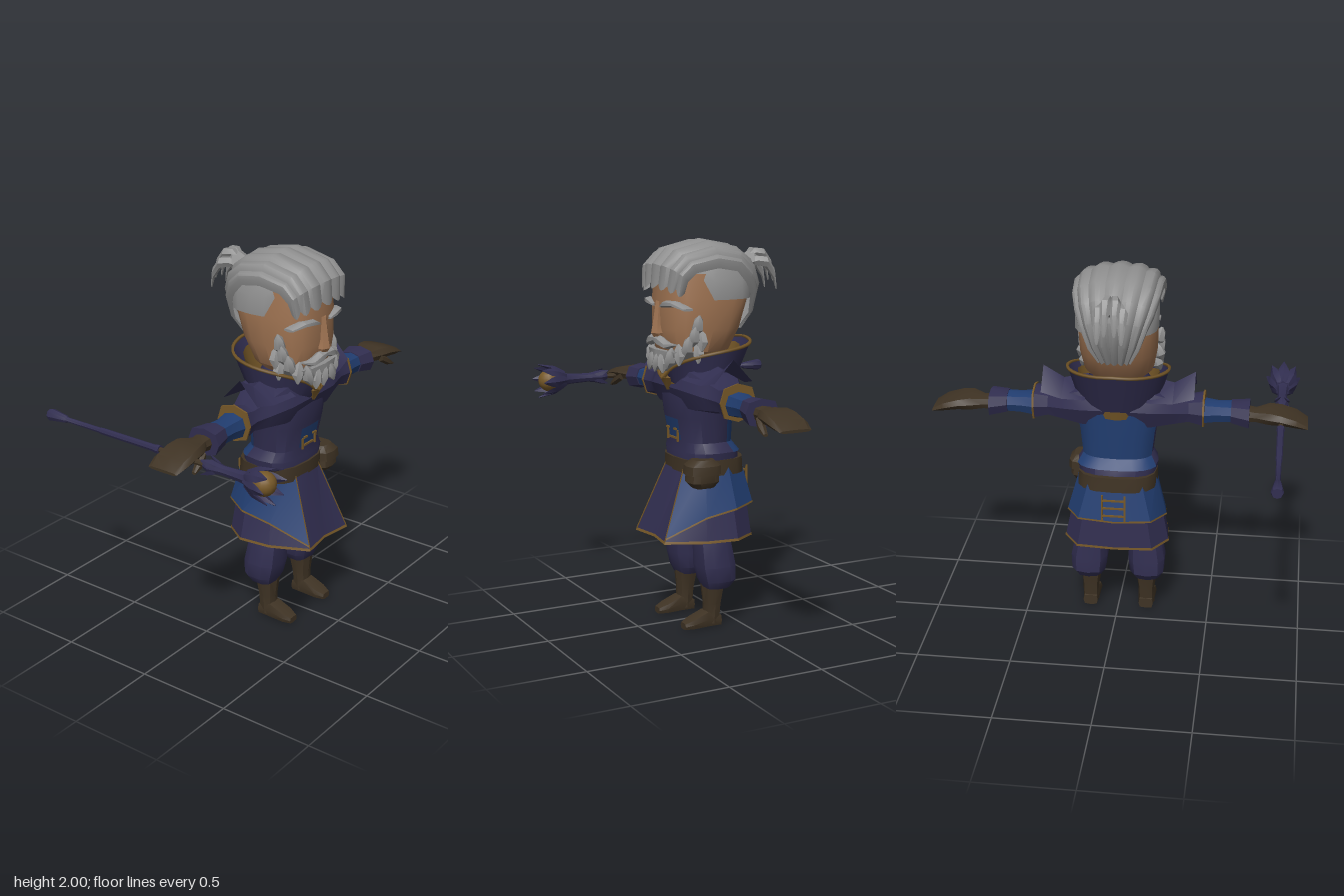
import * as THREE from 'three';
import { toCreasedNormals } from 'three/addons/utils/BufferGeometryUtils.js';

const paint = (name, color) => {
  const m = new THREE.MeshStandardMaterial({ color, side: THREE.DoubleSide });
  m.name = name;
  return m;
};

// Surface through a list of rings; points run counter-clockwise around the direction of travel
function loft(rings, closed = true, caps = true) {
  const n = rings[0].length, pos = rings.flat(2), idx = [];
  const cols = closed ? n : n - 1;
  for (let i = 0; i < rings.length - 1; i++)
    for (let j = 0; j < cols; j++) {
      const a = i * n + j, b = i * n + (j + 1) % n;
      idx.push(a, b, b + n, a, b + n, a + n);
    }
  if (closed && caps) {
    const top = (rings.length - 1) * n;
    for (let j = 1; j < n - 1; j++) idx.push(0, j + 1, j, top, top + j, top + j + 1);
  }
  const g = new THREE.BufferGeometry();
  g.setAttribute('position', new THREE.Float32BufferAttribute(pos, 3));
  g.setIndex(idx);
  return toCreasedNormals(g, 0.6);
}

// Loft of rounded sections [t, aMin, aMax, bMin, bMax]; axis y: a=z b=x, axis x: a=y b=z, axis z: a=x b=y
function body(axis, sections, n = 8, power = 2, from = 0, to = Math.PI * 2, caps = true) {
  const closed = to - from > 6.28;
  const bend = (v) => Math.sign(v) * Math.abs(v) ** (2 / power);
  const rings = sections.map(([t, a0, a1, b0, b1]) => {
    const ring = [];
    for (let j = 0; j < (closed ? n : n + 1); j++) {
      const q = from + (to - from) * j / n;
      const a = (a0 + a1) / 2 + (a1 - a0) / 2 * bend(Math.cos(q));
      const b = (b0 + b1) / 2 + (b1 - b0) / 2 * bend(Math.sin(q));
      ring.push(axis === 'y' ? [b, t, a] : axis === 'x' ? [t, a, b] : [a, b, t]);
    }
    return ring;
  });
  return loft(rings, closed, caps);
}

function mirror(geo) {
  const p = (geo.index ? geo.toNonIndexed() : geo).attributes.position.array, out = [];
  for (let i = 0; i < p.length; i += 9)
    for (const k of [0, 6, 3]) out.push(-p[i + k], p[i + k + 1], p[i + k + 2]);
  const g = new THREE.BufferGeometry();
  g.setAttribute('position', new THREE.Float32BufferAttribute(out, 3));
  return toCreasedNormals(g, 0.6);
}

export function createModel() {
  const root = new THREE.Group();
  root.name = 'oldMage';
  const hair = paint('grey hair', 0x8f8f8f), skin = paint('skin', 0x9c7150);
  const navy = paint('navy cloth', 0x312e50), blue = paint('blue cloth', 0x213d70);
  const leather = paint('brown leather', 0x3f3324), gold = paint('gold trim', 0x765828);
  const add = (name, geo, mat, parent = root) => {
    const m = new THREE.Mesh(geo, mat);
    m.name = name;
    parent.add(m);
    return m;
  };
  const pair = (name, geo, mat) => {
    add(name + 'Left', geo, mat);
    add(name + 'Right', mirror(geo), mat);
  };
  const bar = (name, x, y, z, w, h, d = 0.008) =>
    add(name, new THREE.BoxGeometry(w, h, d).translate(x, y, z), gold);

  // Legs and boots
  pair('trouser', body('y', [[0.21, 0.06, 0.2, 0.09, 0.23], [0.25, 0.03, 0.22, 0.065, 0.255], [0.33, 0.03, 0.24, 0.055, 0.26],
    [0.46, 0.05, 0.24, 0.06, 0.235], [0.6, 0.05, 0.24, 0.03, 0.2]], 10, 2.6), navy);
  pair('bootShaft', body('y', [[0.02, 0.115, 0.2, 0.11, 0.2], [0.12, 0.105, 0.195, 0.11, 0.2], [0.25, 0.08, 0.21, 0.09, 0.215]], 8, 2.6), leather);
  pair('bootFoot', body('z', [[0.11, 0.115, 0.195, 0, 0.06], [0.19, 0.108, 0.202, 0, 0.09], [0.27, 0.108, 0.202, 0, 0.055],
    [0.315, 0.125, 0.185, 0, 0.035]], 8, 4), leather);

  // Skirt: angular waist and hem outlines, x and z, from the front middle to the back middle
  const waist = [[0, 0.285], [0.1, 0.275], [0.19, 0.2], [0.205, 0.08], [0.14, -0.03], [0, -0.05]];
  const hem = [[0, 0.4], [0.17, 0.425], [0.26, 0.23], [0.28, 0.06], [0.2, -0.06], [0, -0.075]];
  const around = (fn, first) => {
    const half = hem.map((_, i) => fn(i)).slice(first);
    const other = half.slice(first ? 0 : 1, -1).reverse().map(([x, y, z]) => [-x, y, z]);
    return [...half, ...other];
  };
  const skirtAt = (f, grow = 1) => (i) => [
    THREE.MathUtils.lerp(waist[i][0], hem[i][0], f) * grow, 0.85 - 0.38 * f,
    0.15 + (THREE.MathUtils.lerp(waist[i][1], hem[i][1], f) - 0.15) * grow];
  add('skirt', loft([around(skirtAt(1), 0), around(skirtAt(0), 0)], true, false), navy);
  add('skirtHem', loft([around(skirtAt(1, 1.012), 0), around(skirtAt(0.965, 1.012), 0)], true, false), gold);
  const drop = [1, 0.94, 0.66, 0.57, 0.54, 0.54];
  const flare = [1, 1.012, 1.05, 1.08, 1.12, 1.16];
  const over = (extra, grow) => around((i) => skirtAt(drop[i] + extra, flare[i] + grow)(i), 1);
  add('overskirt', loft([over(0, 0), around(skirtAt(0, 1.01), 1)], false), blue);
  add('overskirtTrim', loft([over(0.01, 0.004), over(-0.015, 0.004)], false), gold);
  for (const s of [-1, 1]) {
    const line = new THREE.LineCurve3(new THREE.Vector3(s * 0.1, 0.85, 0.277), new THREE.Vector3(s * 0.168, 0.48, 0.424));
    add('frontSeam', new THREE.TubeGeometry(line, 1, 0.004, 4), gold);
    bar('backLacePost', s * 0.06, 0.735, -0.108, 0.01, 0.15);
  }
  for (const y of [0.69, 0.735, 0.78]) bar('backLace', 0, y, -0.109, 0.11, 0.009);

  // Torso
  const torso = [[0.82, -0.04, 0.28, -0.2, 0.2], [0.92, -0.03, 0.285, -0.215, 0.215], [0.97, 0.01, 0.275, -0.185, 0.185],
    [1.1, 0.005, 0.3, -0.2, 0.2], [1.26, 0, 0.31, -0.23, 0.23], [1.4, 0.05, 0.28, -0.14, 0.14]];
  add('tunic', body('y', torso, 16, 2.8), navy);
  const grown = torso.map(([y, a, b, c, d]) => [y, a - 0.006, b + 0.006, c - 0.006, d + 0.006]);
  add('backPanel', body('y', grown.slice(1, 5), 8, 2.8, Math.PI - 1.2, Math.PI + 1.2), blue);
  add('chestPanel', body('y', [[0.98, 0, 0.283, -0.19, 0.19], [1.09, 0, 0.304, -0.2, 0.2]], 4, 2.8, -0.25, 0.25), blue);
  for (const s of [-1, 1]) {
    bar('chestClasp', s * 0.055, 1.0, 0.292, 0.012, 0.06);
    bar('chestTab', s * 0.04, 1.035, 0.299, 0.03, 0.01);
  }
  bar('chestBand', 0, 0.985, 0.289, 0.08, 0.01);
  add('belt', body('y', [[0.805, -0.065, 0.295, -0.215, 0.215], [0.885, -0.06, 0.295, -0.212, 0.212]], 16, 2.8), leather);
  add('pouch', body('y', [[0.755, 0.17, 0.28, 0.15, 0.25], [0.785, 0.145, 0.31, 0.13, 0.268], [0.84, 0.145, 0.305, 0.135, 0.265]], 10, 3.2), leather);
  add('pouchFlap', body('y', [[0.825, 0.135, 0.32, 0.125, 0.278], [0.87, 0.135, 0.315, 0.125, 0.275], [0.9, 0.17, 0.28, 0.15, 0.25]], 10, 3.2), leather);

  // Arms
  pair('shoulder', body('x', [[0, 1.12, 1.38, -0.01, 0.32], [0.18, 1.125, 1.37, -0.01, 0.315], [0.29, 1.14, 1.32, 0.04, 0.27],
    [0.37, 1.15, 1.29, 0.075, 0.24], [0.45, 1.13, 1.31, 0.06, 0.25]], 8, 2.6), navy);
  pair('shoulderFlap', body('x', [[0.16, 1.22, 1.39, -0.01, 0.32], [0.29, 1.22, 1.36, 0.03, 0.28], [0.4, 1.2, 1.425, 0.05, 0.26]],
    2, 2, -Math.PI / 2, Math.PI / 2), navy);
  pair('shoulderTrim', body('x', [[0.442, 1.125, 1.315, 0.055, 0.255], [0.452, 1.125, 1.315, 0.055, 0.255]], 8, 2.6), gold);
  pair('sleeve', body('x', [[0.44, 1.145, 1.275, 0.08, 0.23], [0.52, 1.155, 1.265, 0.095, 0.215], [0.61, 1.16, 1.265, 0.09, 0.22]], 8, 2.6), blue);
  pair('cuff', body('x', [[0.59, 1.155, 1.27, 0.085, 0.225], [0.685, 1.135, 1.275, 0.06, 0.245]], 8, 2.6), navy);
  pair('glove', body('x', [[0.66, 1.165, 1.245, 0.1, 0.205], [0.72, 1.17, 1.235, 0.1, 0.2], [0.79, 1.17, 1.25, 0.06, 0.24],
    [0.85, 1.175, 1.24, 0.05, 0.25], [0.93, 1.165, 1.215, 0.05, 0.25], [0.99, 1.16, 1.175, 0.065, 0.235]], 8, 3), leather);
  pair('thumb', body('x', [[0.78, 1.17, 1.215, 0.2, 0.245], [0.83, 1.14, 1.185, 0.215, 0.26], [0.875, 1.13, 1.145, 0.23, 0.255]], 6), leather);

  // High collar, tall at the back and dipping to a point in front
  const collarRing = (rx, zc, rz, top) => Array.from({ length: 20 }, (_, j) => {
    const q = j / 20 * Math.PI * 2, d = Math.abs(Math.abs(q - Math.PI)) / Math.PI;
    return [rx * Math.sin(q), top ? 1.485 - 0.06 * d - 0.13 * d ** 5 : 1.2 + 0.03 * d, zc + rz * Math.cos(q)];
  });
  const rim = collarRing(0.265, 0.115, 0.235, true);
  add('collar', loft([collarRing(0.2, 0.15, 0.15), rim], true, false), navy);
  const rimCurve = new THREE.CatmullRomCurve3(rim.map((p) => new THREE.Vector3(...p)), true);
  add('collarTrim', new THREE.TubeGeometry(rimCurve, 40, 0.009, 4, true), gold);
  add('scarf', loft([collarRing(0.17, 0.15, 0.16), collarRing(0.215, 0.13, 0.2, true).map(([x, y, z]) => [x, y - 0.025, z])], true, false), gold);
  add('collarClasp', body('y', [[1.235, 0.3, 0.325, -0.012, 0.012], [1.3, 0.3, 0.36, -0.05, 0.05], [1.34, 0.31, 0.35, -0.03, 0.03]], 6), gold);

  // Head and face
  add('neck', new THREE.CylinderGeometry(0.1, 0.12, 0.25, 10).translate(0, 1.34, 0.14), skin);
  add('head', body('y', [[1.36, 0.08, 0.3, -0.1, 0.1], [1.44, 0.01, 0.355, -0.18, 0.18], [1.55, -0.05, 0.37, -0.2, 0.2],
    [1.7, -0.1, 0.372, -0.205, 0.205], [1.83, -0.08, 0.36, -0.185, 0.185]], 20, 2.7), skin);
  add('nose', body('y', [[1.5, 0.34, 0.39, -0.03, 0.03], [1.53, 0.34, 0.41, -0.042, 0.042], [1.57, 0.34, 0.402, -0.028, 0.028],
    [1.69, 0.34, 0.382, -0.02, 0.02]], 6), skin);
  pair('eyebrow', body('x', [[0.045, 1.66, 1.675, 0.35, 0.385], [0.09, 1.665, 1.7, 0.34, 0.395], [0.15, 1.67, 1.7, 0.31, 0.38], [0.2, 1.65, 1.665, 0.27, 0.33]], 6), hair);
  pair('moustache', body('x', [[0, 1.485, 1.515, 0.35, 0.405], [0.05, 1.465, 1.52, 0.35, 0.41], [0.1, 1.455, 1.49, 0.33, 0.395], [0.14, 1.475, 1.485, 0.33, 0.36]], 6), hair);

  // Beard: a solid chin with curly locks up to the ears
  add('beard', body('y', [[1.335, 0.24, 0.36, -0.05, 0.05], [1.38, 0.17, 0.39, -0.13, 0.13], [1.445, 0.17, 0.385, -0.195, 0.195]], 14, 2.5), hair);
  const locks = [[0, 1.385, 0.375], [0.06, 1.385, 0.375], [0.11, 1.41, 0.36], [0.155, 1.43, 0.33], [0.185, 1.47, 0.3],
    [0.19, 1.44, 0.24], [0.2, 1.52, 0.27], [0.2, 1.5, 0.225], [0.2, 1.575, 0.25]];
  locks.forEach(([x, y, z], i) => {
    const geo = body('y', [[-0.055, 0.005, 0.015, -0.006, 0.006], [-0.015, -0.032, 0.03, -0.034, 0.034],
      [0.03, -0.028, 0.02, -0.026, 0.026], [0.055, -0.01, 0, -0.006, 0.006]], 6);
    geo.rotateZ(i % 2 ? 0.35 : -0.25).translate(x, y, z);
    if (x) pair('beardLock', geo, hair); else add('beardLock', geo, hair);
  });

  // Hair: ridged strips swept from the forehead to the nape, over a plain lower cap
  add('hairCap', body('y', [[1.7, -0.11, 0.26, -0.213, 0.213], [1.8, -0.11, 0.27, -0.215, 0.215], [1.88, -0.07, 0.27, -0.18, 0.18]], 20, 2.7), hair);
  const middle = [[0.39, 1.78], [0.38, 1.87], [0.31, 1.945], [0.14, 1.985], [-0.02, 1.955], [-0.11, 1.89], [-0.15, 1.79], [-0.125, 1.66], [-0.06, 1.54]];
  const side = [[0.32, 1.74], [0.31, 1.8], [0.26, 1.84], [0.14, 1.86], [0.03, 1.84], [-0.03, 1.78], [-0.07, 1.72], [-0.08, 1.62], [-0.05, 1.55]];
  const width = [0.2, 0.22, 0.22, 0.222, 0.215, 0.195, 0.165, 0.125, 0.08];
  const strips = 7, steps = strips * 4;
  add('sweptHair', loft(middle.map(([cz, cy], v) => Array.from({ length: steps + 1 }, (_, j) => {
    const a = (j / steps - 0.5) * Math.PI, c = Math.cos(a) ** 0.75;
    const ridge = Math.abs(Math.sin(j / 4 * Math.PI)), r = 1 + 0.05 * ridge;
    const z = side[v][0] + (cz - side[v][0]) * c, y = side[v][1] + (cy - side[v][1]) * c;
    return [width[v] * Math.sin(a) * r, 1.72 + (y - 1.72) * r - (v ? 0 : 0.03 * ridge), 0.12 + (z - 0.12) * r];
  })), false), hair);
  add('bunKnot', body('z', [[-0.2, -0.035, 0.035, 1.85, 1.92], [-0.16, -0.06, 0.06, 1.82, 1.93], [-0.09, -0.05, 0.05, 1.8, 1.9]], 8), hair);
  for (const [x, dy] of [[-0.06, -0.03], [-0.025, 0.01], [0.025, 0.01], [0.06, -0.03]])
    add('bunStrand', body('z', [[-0.28, x - 0.008, x + 0.008, 1.755 + dy, 1.78 + dy], [-0.265, x - 0.02, x + 0.02, 1.81 + dy, 1.87 + dy],
      [-0.22, x - 0.028, x + 0.028, 1.87 + dy, 1.93 + dy], [-0.17, x * 0.7 - 0.025, x * 0.7 + 0.025, 1.88 + dy, 1.935 + dy],
      [-0.11, x * 0.3 - 0.02, x * 0.3 + 0.02, 1.84, 1.88]], 6), hair);

  // Staff held level in the right hand
  const staff = new THREE.Group();
  staff.name = 'staff';
  staff.position.set(-0.85, 1.188, 0);
  root.add(staff);
  const rod = (name, list, mat) => add(name, body('z', list.map(([z, r]) => [z, -r, r, -r, r]), 8), mat, staff);
  rod('staffShaft', [[-0.7, 0.027], [-0.685, 0.032], [-0.59, 0.019], [-0.58, 0.013], [-0.36, 0.014], [-0.35, 0.017], [-0.02, 0.018], [0, 0.022], [0.02, 0.022]], navy);
  rod('staffGrip', [[0.01, 0.014], [0.31, 0.014]], leather);
  rod('staffNeck', [[0.29, 0.02], [0.33, 0.036], [0.4, 0.024], [0.5, 0.028], [0.55, 0.035], [0.59, 0.06]], navy);
  add('staffOrb', new THREE.SphereGeometry(0.06, 16, 10).translate(0, 0, 0.632), gold, staff);
  for (let i = 0; i < 8; i++) {
    const q = i / 8 * Math.PI * 2;
    add('crownLeaf', body('z', [[0.54, 0.01, 0.045, -0.02, 0.02], [0.6, 0.055, 0.078, -0.032, 0.032],
      [0.64, 0.066, 0.085, -0.026, 0.026], [0.695, 0.088, 0.094, -0.003, 0.003]], 4).rotateZ(q), navy, staff);
    if (i % 2) add('neckLeaf', body('z', [[0.295, 0.05, 0.054, -0.003, 0.003], [0.33, 0.024, 0.046, -0.02, 0.02],
      [0.37, 0.012, 0.03, -0.012, 0.012]], 4).rotateZ(q), navy, staff);
  }
  return root;
}
